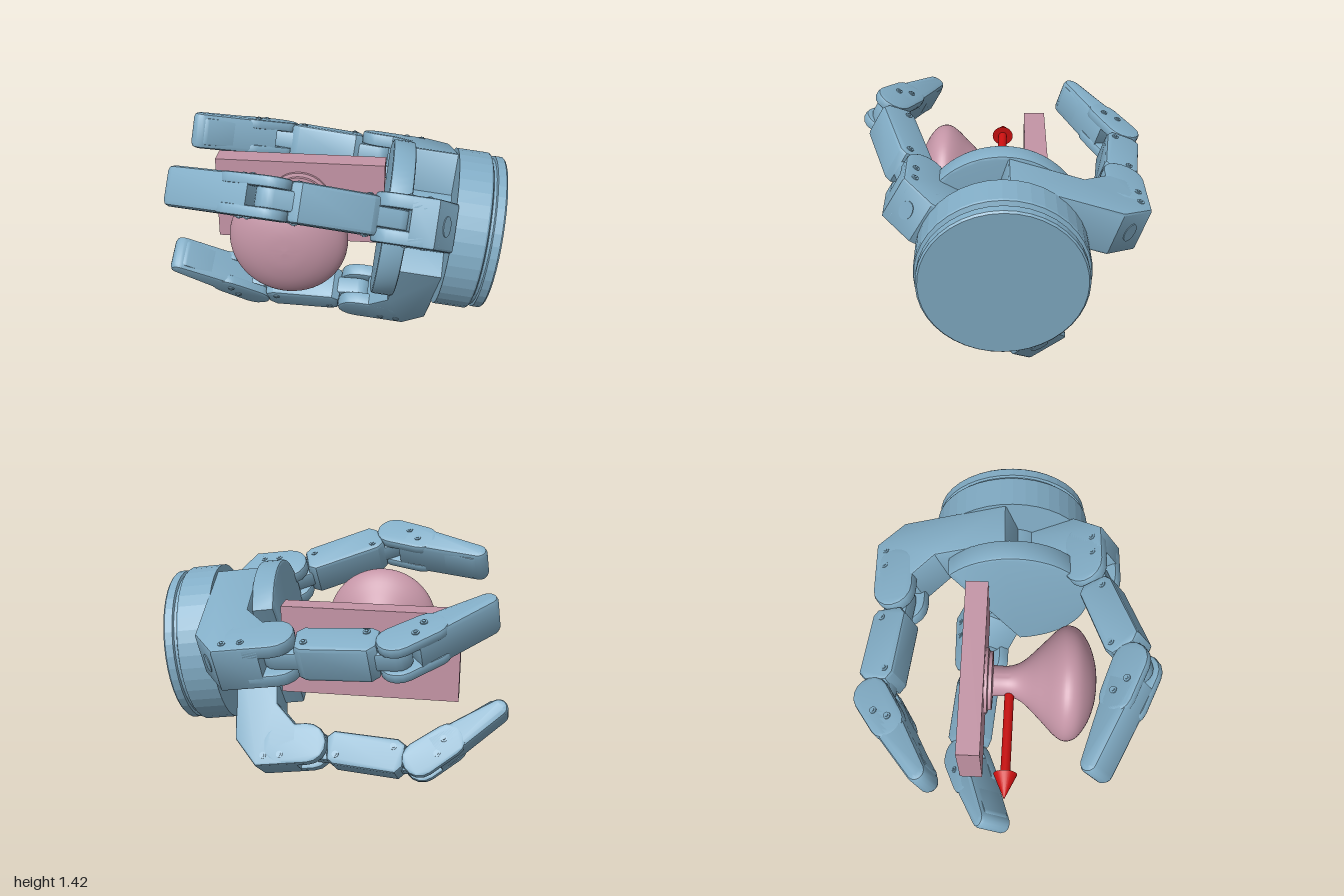
import * as THREE from 'three';
import { toCreasedNormals } from 'three/addons/utils/BufferGeometryUtils.js';

const paint = (color) => new THREE.MeshStandardMaterial({ color });
const blue = paint(0x82adc6), pink = paint(0xc495a6), red = paint(0xcc1010);
const V2 = (x, y) => new THREE.Vector2(x, y);

function add(parent, name, geometry, material, x = 0, y = 0, z = 0) {
  const mesh = new THREE.Mesh(geometry, material);
  mesh.name = name;
  mesh.position.set(x, y, z);
  parent.add(mesh);
  return mesh;
}

// Bevelled slab: an outline in x/y, centred on z with the given total width
function slab(points, width, bevel = 0.015) {
  const g = new THREE.ExtrudeGeometry(new THREE.Shape(points), {
    depth: width - 2 * bevel, bevelThickness: bevel, bevelSize: bevel,
    bevelOffset: -bevel, bevelSegments: 2,
  });
  g.translate(0, 0, bevel - width / 2);
  return toCreasedNormals(g, 0.6);
}

// Outline wrapping two circles, one at each end of a link along +x
function hull(r1, r2, length, steps = 8) {
  const tilt = Math.acos((r1 - r2) / length), pts = [];
  for (let i = 0; i <= steps; i++) {
    const t = tilt + (2 * Math.PI - 2 * tilt) * i / steps;
    pts.push(V2(r1 * Math.cos(t), r1 * Math.sin(t)));
  }
  for (let i = 0; i <= steps; i++) {
    const t = -tilt + 2 * tilt * i / steps;
    pts.push(V2(length + r2 * Math.cos(t), r2 * Math.sin(t)));
  }
  return pts;
}

// Group at a joint whose +x points to the next joint
function linkGroup(parent, name, from, to) {
  const g = new THREE.Group();
  g.name = name;
  g.position.set(from.x, from.y, 0);
  g.rotation.z = Math.atan2(to.y - from.y, to.x - from.x);
  parent.add(g);
  return g;
}

function screws(parent, spots, half) {
  for (const [x, y] of spots) for (const s of [-1, 1]) {
    add(parent, 'screw', new THREE.CylinderGeometry(0.02, 0.02, 0.012, 12), blue, x, y, s * half).rotation.x = Math.PI / 2;
    add(parent, 'screwHead', new THREE.CylinderGeometry(0.01, 0.01, 0.022, 6), blue, x, y, s * half).rotation.x = Math.PI / 2;
  }
}

// Finger in its own plane: x outward from the palm, y along the hand's axis
function makeFinger(name, angle, lateral, [k, j2, tip], inner) {
  const holder = new THREE.Group();
  holder.name = name;
  holder.rotation.y = THREE.MathUtils.degToRad(angle - 90);
  const f = new THREE.Group();
  f.position.z = lateral;
  holder.add(f);

  // Knuckle: wedge-shaped arm leaving the hub, bent forward into a fork
  const o = k.x + 0.12;
  add(f, 'knuckleArm', slab([V2(inner, 0.29), V2(o - 0.17, 0.29), V2(o, 0.41), V2(o, k.y - 0.07),
    V2(k.x - 0.1, k.y - 0.05), V2(k.x - 0.25, 0.55), V2(inner, 0.55)], 0.27), blue);
  const cheek = hull(0.12, 0.12, 0.15).map((p) => V2(k.x + p.y, k.y - p.x));
  for (const s of [-1, 1]) add(f, 'knuckleCheek', slab(cheek, 0.08), blue, 0, 0, s * 0.095);
  const cover = add(f, 'knuckleCover', new THREE.CylinderGeometry(0.04, 0.04, 0.01, 20), blue, o - 0.085, 0.35, 0);
  cover.rotation.z = Math.atan2(0.12, 0.17);
  cover.scale.z = 1.4;
  screws(f, [[o - 0.06, 0.46], [o - 0.06, 0.56]], 0.133);

  // Middle link: boxy body with a hinge tab at each end
  const mid = linkGroup(f, 'middleLink', k, j2);
  const L = k.distanceTo(j2);
  add(mid, 'middleTab', slab(hull(0.075, 0.075, L), 0.11), blue);
  add(mid, 'middleBody', slab([V2(0.13, -0.075), V2(0.17, -0.1), V2(L - 0.13, -0.105), V2(L - 0.09, -0.06),
    V2(L - 0.09, 0.07), V2(L - 0.14, 0.1), V2(0.15, 0.1), V2(0.11, 0.06)], 0.215, 0.022), blue);
  screws(mid, [[0.18, -0.04], [L - 0.16, 0.05]], 0.107);

  // Fingertip: forked root, tapered body and a pad on the gripping side
  const end = linkGroup(f, 'fingertip', j2, tip);
  const M = j2.distanceTo(tip);
  for (const s of [-1, 1]) add(end, 'fingertipCheek', slab(hull(0.105, 0.098, 0.2), 0.06), blue, 0, 0, s * 0.08);
  add(end, 'fingertipBody', slab([V2(0.08, -0.1), ...hull(0.095, 0.055, M - 0.16).slice(9)
    .map((p) => V2(p.x + 0.16, p.y)), V2(0.08, 0.1)], 0.22, 0.03), blue);
  add(end, 'fingertipPad', slab(hull(0.05, 0.035, M - 0.24), 0.17), blue, 0.22, 0.03, 0);
  screws(end, [[0.1, -0.03], [0.18, 0.02]], 0.11);
  return holder;
}

function makeHand() {
  const hand = new THREE.Group();
  hand.name = 'gripperHand';
  // Local y runs along the hand's axis, toward the fingertips
  const axis = new THREE.Vector3(-0.99, 0.13, 0.03).normalize();
  const side = new THREE.Vector3().crossVectors(axis, new THREE.Vector3(0, 0, 1)).normalize();
  const z = new THREE.Vector3().crossVectors(side, axis);
  hand.quaternion.setFromRotationMatrix(new THREE.Matrix4().makeBasis(side, axis, z));
  hand.position.set(0.97, 0.77, -0.01);

  // Stepped round base and central hub
  const base = [[0, 0.025], [0.435, 0.025], [0.445, 0.035], [0.445, 0.08], [0.43, 0.085], [0.43, 0.1],
    [0.455, 0.11], [0.46, 0.12], [0.46, 0.3], [0, 0.3]].map(([r, y]) => V2(r, y));
  add(hand, 'wristBase', toCreasedNormals(new THREE.LatheGeometry(base, 40), 0.1), blue);
  add(hand, 'hub', toCreasedNormals(new THREE.CylinderGeometry(0.22, 0.22, 0.26, 32), 0.5), blue, 0, 0.42, 0);

  // Palm: round plate cut flat on the side of the two spread fingers
  const rim = [];
  for (let i = 0; i <= 40; i++) {
    const t = THREE.MathUtils.degToRad(-173 + 226 * i / 40);
    rim.push(V2(0.455 * Math.cos(t), 0.455 * Math.sin(t)));
  }
  add(hand, 'palm', slab(rim, 0.13), blue, 0, 0.605, 0).rotation.x = -Math.PI / 2;

  // One fixed finger and two spread ones opposite it
  hand.add(makeFinger('fixedFinger', 30, 0.03, [V2(0.52, 0.62), V2(0.755, 1.28), V2(0.5, 1.8)], 0));
  hand.add(makeFinger('upperSpreadFinger', 198, 0.3, [V2(0.575, 0.72), V2(0.67, 1.37), V2(0.38, 1.84)], -0.1));
  hand.add(makeFinger('lowerSpreadFinger', 233, -0.24, [V2(0.635, 0.72), V2(0.765, 1.38), V2(0.495, 1.85)], -0.1));
  return hand;
}

function makeKnob() {
  const g = new THREE.Group();
  g.name = 'doorKnob';
  add(g, 'backPlate', new THREE.BoxGeometry(1.015, 0.515, 0.13), pink, -0.195, 0.86, -0.187);
  const rose = [[0, -0.13], [0.19, -0.13], [0.19, -0.105], [0.17, -0.1], [0.17, -0.08], [0.09, -0.075]];
  const curve = new THREE.SplineCurve([[0.09, -0.075], [0.09, 0.02], [0.125, 0.1], [0.22, 0.2], [0.305, 0.285],
    [0.333, 0.345], [0.308, 0.41], [0.22, 0.47], [0.11, 0.505], [0, 0.515]].map(([r, z]) => V2(r, z)));
  const profile = [...rose.map(([r, z]) => V2(r, z)), ...curve.getPoints(40).slice(1)];
  profile.forEach((p) => { p.x = Math.max(p.x, 0); });
  const knob = toCreasedNormals(new THREE.LatheGeometry(profile, 56), 0.7);
  add(g, 'knob', knob, pink, -0.195, 0.865, 0).rotation.x = Math.PI / 2;
  return g;
}

function makeArrow() {
  const g = new THREE.Group();
  g.name = 'directionArrow';
  const from = new THREE.Vector3(-0.25, 0.87, 0.02), to = new THREE.Vector3(-0.9, 0.958, 0.015);
  const L = from.distanceTo(to);
  g.position.copy(from);
  g.quaternion.setFromUnitVectors(new THREE.Vector3(0, 1, 0), to.clone().sub(from).normalize());
  add(g, 'arrowShaft', new THREE.CylinderGeometry(0.027, 0.027, L - 0.14, 20), red, 0, (L - 0.14) / 2, 0);
  add(g, 'arrowHead', new THREE.ConeGeometry(0.066, 0.145, 24), red, 0, L - 0.0725, 0);
  return g;
}

export function createModel() {
  const model = new THREE.Group();
  model.name = 'gripperTurningKnob';
  model.add(makeHand(), makeKnob(), makeArrow());
  return model;
}
